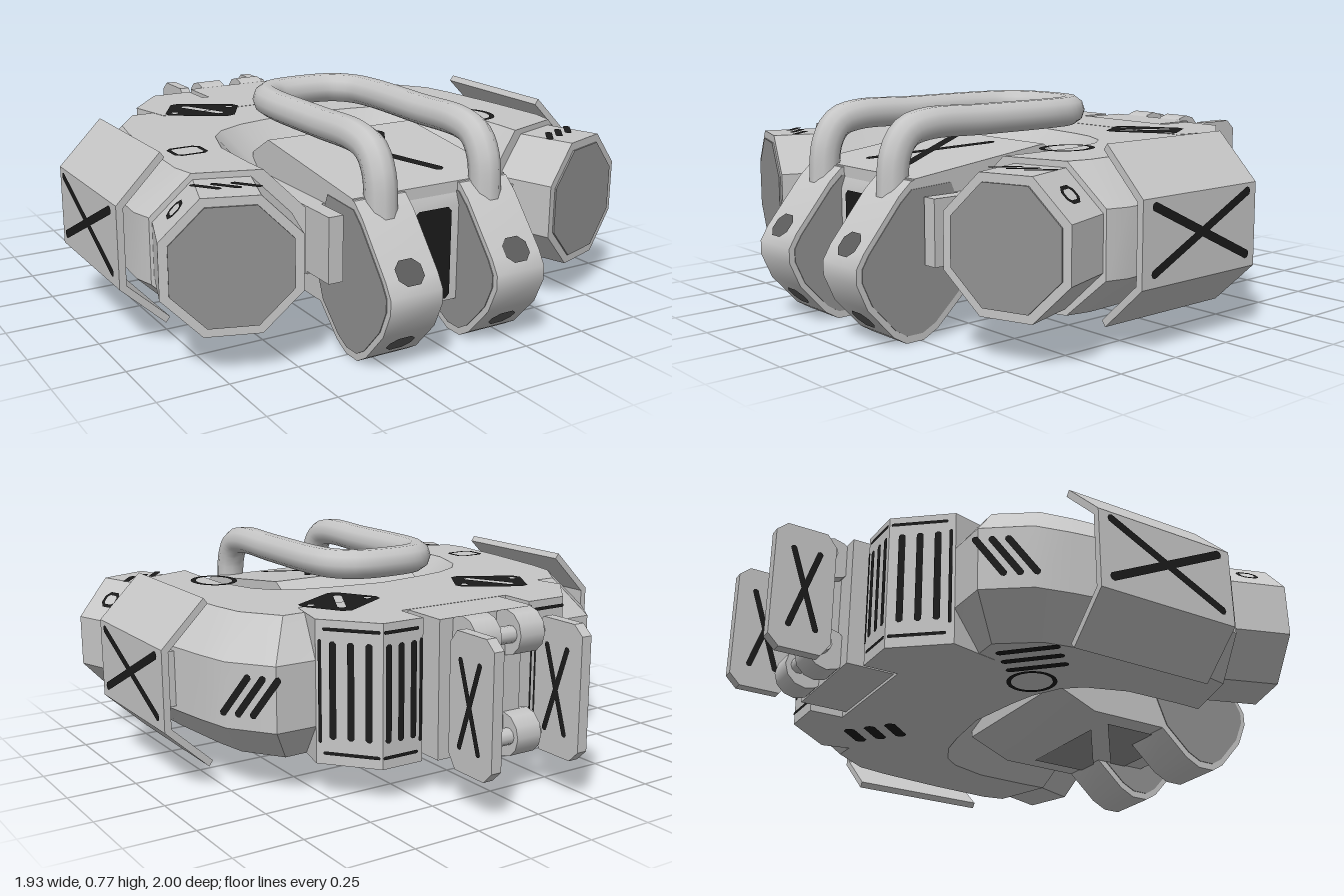
import * as THREE from 'three';
import { toCreasedNormals } from 'three/addons/utils/BufferGeometryUtils.js';

const V = (x, y, z) => new THREE.Vector3(x, y, z);
const paint = (name, color) => Object.assign(new THREE.MeshStandardMaterial({ color }), { name });

export function createModel() {
  const root = new THREE.Group();
  const shellGray = paint('light gray', 0xc6c6c6), midGray = paint('mid gray', 0x929292);
  const black = paint('black', 0x1b1b1b), darkGray = paint('dark gray', 0x5c5c5c);

  const add = (name, geo, mat = shellGray) => {
    const m = new THREE.Mesh(geo, mat);
    m.name = name;
    root.add(m);
    return m;
  };
  const poly = (pts) => new THREE.Shape(pts.map(([x, y]) => new THREE.Vector2(x, y)));
  const box = (name, w, h, d, x, y, z, mat) =>
    add(name, new THREE.BoxGeometry(w, h, d).translate(x, y, z), mat);
  // prism from a side outline (z, y), centred on x
  const sidePrism = (name, pts, width, x, mat) => add(name, toCreasedNormals(
    new THREE.ExtrudeGeometry(poly(pts), { depth: width, bevelEnabled: false })
      .rotateY(-Math.PI / 2).translate(x + width / 2, 0, 0), 0.6), mat);
  // prism from a plan outline (x, z), between two heights
  const planPrism = (name, pts, y0, y1) => add(name,
    new THREE.ExtrudeGeometry(poly(pts.map(([x, z]) => [x, -z])), { depth: y1 - y0, bevelEnabled: false })
      .rotateX(-Math.PI / 2).translate(0, y0, 0));
  // flat marking laid just above a surface
  const mark = (name, shapes, pos, normal, spin = 0, mat = black) => {
    const n = normal.clone().normalize();
    const up = Math.abs(n.y) > 0.9 ? V(0, 0, -1) : V(0, 1, 0);
    const x = up.cross(n).normalize();
    const m = add(name, new THREE.ShapeGeometry(shapes).rotateZ(spin), mat);
    m.quaternion.setFromRotationMatrix(new THREE.Matrix4().makeBasis(x, n.clone().cross(x), n));
    m.position.copy(pos).addScaledVector(n, 0.004);
  };
  // clipped-corner bar, used for strokes, slots and panels
  const bar = (l, w, a = 0, cx = 0, cy = 0, c = w * 0.3) => {
    const p = [];
    for (const [sx, sy] of [[1, 1], [-1, 1], [-1, -1], [1, -1]]) {
      const k = [[sx * l / 2, sy * (w / 2 - c)], [sx * (l / 2 - c), sy * w / 2]];
      p.push(...(sx * sy > 0 ? k : k.reverse()));
    }
    return poly(p.map(([x, y]) => [cx + x * Math.cos(a) - y * Math.sin(a), cy + x * Math.sin(a) + y * Math.cos(a)]));
  };
  const cross = (l, w, a) => [bar(l, w, a), bar(l, w, -a)];
  const stripes = (l, w, gap, a) => [-1, 0, 1].map((i) => bar(l, w, a, i * gap, 0));
  const ring = (rx, ry, t) => {
    const s = new THREE.Shape().absellipse(0, 0, rx, ry, 0, Math.PI * 2);
    s.holes.push(new THREE.Path().absellipse(0, 0, rx - t, ry - t, 0, Math.PI * 2));
    return s;
  };
  const frame = (w, h, t) => {
    const s = bar(w, h, 0, 0, 0, 0.02);
    s.holes.push(bar(w - 2 * t, h - 2 * t, 0, 0, 0, 0.01));
    return s;
  };

  // horseshoe body: eight-sided section between outer and inner outlines
  const half = [
    [0, -0.48, 0, 0.06], [0.54, -0.48, 0.12, 0.06], [0.69, -0.48, 0.22, 0.08], [0.8, -0.33, 0.31, 0.12],
    [0.83, -0.2, 0.36, 0.18], [0.88, 0.1, 0.39, 0.3], [0.9, 0.37, 0.39, 0.5], [0.88, 0.45, 0.39, 0.61],
  ];
  const stations = [...half.slice(1).reverse().map(([a, b, c, d]) => [-a, b, -c, d]), ...half];
  const pos = [], idx = [];
  stations.forEach(([ox, oz, ix, iz], s) => {
    const o = V(ox, 0, oz), i = V(ix, 0, iz), e = 0.14 / o.distanceTo(i);
    [[0, 0.26], [0, 0.49], [e, 0.63], [1 - e, 0.63], [1, 0.49], [1, 0.26], [1 - e, 0.13], [e, 0.13]].forEach(([t, y], r) => {
      const p = o.clone().lerp(i, t);
      pos.push(p.x, y, p.z);
      if (s === stations.length - 1) return;
      const a = s * 8 + r, b = s * 8 + (r + 1) % 8;
      idx.push(a, b, a + 8, b, b + 8, a + 8);
    });
  });
  const last = (stations.length - 1) * 8;
  for (let r = 1; r < 7; r++) idx.push(0, r + 1, r, last, last + r, last + r + 1);
  const body = new THREE.BufferGeometry();
  body.setAttribute('position', new THREE.Float32BufferAttribute(pos, 3));
  body.setIndex(idx);
  add('body', toCreasedNormals(body, 0.6));

  // rear vent block with a notch for the hinge
  const rear = [[0.23, -0.53], [0.23, -0.66], [0.39, -0.66], [0.54, -0.48], [0.5, -0.3]];
  planPrism('rearBlock', [...rear, ...rear.map(([x, z]) => [-x, z]).reverse()], 0.129, 0.631);

  // central block, its collar and the markings on it
  planPrism('blockCollar', [[-0.32, 0.08], [0.32, 0.08], [0.38, 0.16], [0.38, 0.6], [-0.38, 0.6], [-0.38, 0.16]], 0.25, 0.49);
  sidePrism('centralBlock', [[0.08, 0.2], [0.08, 0.55], [0.2, 0.62], [0.77, 0.55], [0.77, 0.13], [0.25, 0.13]], 0.62, 0);
  sidePrism('noseBridge', [[0.7, 0.55], [0.77, 0.51], [0.785, 0.47], [0.785, 0.13], [0.7, 0.13]], 0.24, 0);
  mark('noseSlot', bar(0.33, 0.15, Math.PI / 2, 0, 0, 0.015), V(0, 0.305, 0.785), V(0, 0, 1));
  mark('blockCross', cross(0.47, 0.04, 1.04), V(0, 0.587, 0.47), V(0, 0.57, 0.07));
  const under = V(0, 0.13, 0.52), down = V(0, -1, 0);
  mark('underPanel', [poly([[-0.24, 0.18], [0.16, 0.18], [-0.24, -0.12]]), poly([[0.24, 0.16], [0.24, -0.18], [-0.2, -0.18]])],
    under, down, 0, midGray);

  // carrying handle
  const grip = [[0.212, 0.46, 0.79], [0.212, 0.62, 0.775], [0.212, 0.69, 0.73], [0.212, 0.715, 0.65], [0.212, 0.715, 0.4],
    [0.212, 0.715, 0.07], [0.19, 0.715, -0.03], [0.13, 0.715, -0.095]];
  const path = [...grip.map((p) => V(...p)), V(0, 0.715, -0.115), ...grip.map(([x, y, z]) => V(-x, y, z)).reverse()];
  add('handle', new THREE.TubeGeometry(new THREE.CatmullRomCurve3(path, false, 'centripetal'), 90, 0.056, 10));

  // rear hinge
  box('hingeBlock', 0.4, 0.49, 0.18, 0, 0.385, -0.62);
  box('hingeBack', 0.22, 0.36, 0.06, 0, 0.385, -0.73);
  for (const y of [0.565, 0.205])
    add('hingeAxle', new THREE.CylinderGeometry(0.03, 0.03, 0.37, 10).rotateZ(Math.PI / 2).translate(0, y, -0.79));

  const fang = [[0.5, 0.3], [0.6, 0.555], [0.78, 0.545], [0.83, 0.5], [0.97, 0.33], [1, 0.28], [1, 0.23],
    [0.96, 0.14], [0.86, 0.03], [0.81, 0], [0.74, 0], [0.68, 0.03], [0.57, 0.13]];
  const ventNormal = (s) => V(s * 0.77, 0, -0.64);

  for (const s of [1, -1]) {
    // front claws with side panels and studs
    sidePrism('frontClaw', fang, 0.2, s * 0.21);
    const inset = fang.map(([z, y]) => [0.79 + (z - 0.79) * 0.9, 0.26 + (y - 0.26) * 0.9]);
    sidePrism('clawPanel', inset, 0.206, s * 0.21, midGray);
    mark('clawStud', bar(0.1, 0.09, 0, 0, 0, 0.025), V(s * 0.215, 0.342, 0.96), V(0, 0.14, 0.17), 0, darkGray);
    mark('clawStudUnder', bar(0.1, 0.08, 0, 0, 0, 0.025), V(s * 0.21, 0.085, 0.91), V(0, -0.1, 0.11), 0, darkGray);
    box('sideFlange', 0.055, 0.23, 0.4, s * 0.352, 0.375, 0.54);

    // octagonal pods on the arm ends
    const axis = V(s * 0.32, 0, 0.95).normalize(), tip = V(s * 0.72, 0.38, 0.725);
    const pod = (name, r, len, off, mat) => {
      const m = add(name, new THREE.CylinderGeometry(r, r, len, 8, 1, false, Math.PI / 8).toNonIndexed()
        .rotateX(Math.PI / 2), mat);
      m.geometry.computeVertexNormals();
      m.position.copy(tip).addScaledVector(axis, off);
      m.lookAt(m.position.clone().add(axis));
    };
    pod('pod', 0.248, 0.24, -0.12);
    pod('podFace', 0.216, 0.008, 0.002, midGray);
    const top = tip.clone().addScaledVector(axis, -0.11).setY(0.609), yaw = s * 0.32;
    mark('podStripes', stripes(0.11, 0.025, 0.065, s * 0.6), top, V(0, 1, 0), yaw);
    const out = V(axis.z * s, 0, -axis.x * s).multiplyScalar(0.707).setY(0.707);
    mark('podFrame', frame(0.08, 0.07, 0.014), tip.clone().addScaledVector(axis, -0.11).addScaledVector(out, 0.229), out);

    // bent side armour
    const arm = [[0.8, 0.68], [0.96, 0.52], [0.96, 0.23], [0.8, 0.08], [0.785, 0.1], [0.935, 0.24], [0.935, 0.51], [0.785, 0.66]];
    add('sideArmour', new THREE.ExtrudeGeometry(poly(arm.map(([x, y]) => [s * x, y])), { depth: 0.555, bevelEnabled: false })
      .translate(0, 0, -0.185));
    box('armourMount', 0.14, 0.2, 0.3, s * 0.87, 0.375, 0.1);
    mark('armourCross', cross(0.53, 0.03, 0.446), V(s * 0.96, 0.385, 0.09), V(s, 0, 0));

    // body side stripes and rear vents
    mark('sideStripes', stripes(0.18, 0.024, 0.055, s * 0.95), V(s * 0.745, 0.38, -0.405), V(s * 0.15, 0, -0.11));
    for (const x of [0.27, 0.32, 0.37])
      mark('ventSlot', bar(0.34, 0.024, Math.PI / 2), V(s * x, 0.39, -0.66), V(0, 0, -1));
    for (const t of [0.2, 0.47, 0.74])
      mark('ventSlot', bar(0.34, 0.024, Math.PI / 2), V(s * (0.39 + 0.15 * t), 0.39, -0.66 + 0.18 * t), ventNormal(s));
    for (const y of [0.17, 0.6]) {
      mark('ventEdge', bar(0.14, 0.012), V(s * 0.32, y, -0.66), V(0, 0, -1));
      mark('ventEdge', bar(0.2, 0.012), V(s * 0.459, y, -0.577), ventNormal(s));
    }
    mark('ventEdge', bar(0.36, 0.012, Math.PI / 2), V(s * 0.241, 0.385, -0.66), V(0, 0, -1));
    mark('ventEdge', bar(0.36, 0.012, Math.PI / 2), V(s * 0.53, 0.385, -0.492), ventNormal(s));

    // slashed plates on the top
    const plate = bar(0.27, 0.21, 0, 0, 0, 0.025);
    plate.holes.push(bar(0.2, 0.03, s * 0.56),
      new THREE.Path().absarc(0.1, s * -0.06, 0.013, 0, 6.283), new THREE.Path().absarc(-0.1, s * 0.06, 0.013, 0, 6.283));
    mark('topPlate', plate, V(s * 0.335, 0.631, -0.305), V(0, 1, 0), s * 0.54);

    // hinge knuckles and rear fins
    for (const y of [0.565, 0.205])
      add('hingeKnuckle', new THREE.CylinderGeometry(0.08, 0.08, 0.105, 12).rotateZ(Math.PI / 2).translate(s * 0.093, y, -0.76));
    sidePrism('rearFin', [[-0.775, 0.19], [-0.775, 0.57], [-0.81, 0.615], [-0.96, 0.615], [-1, 0.58], [-1, 0.18], [-0.96, 0.14], [-0.81, 0.14]],
      0.04, s * 0.185);
    for (const f of [1, -1])
      mark('finCross', cross(0.33, 0.022, 1.25), V(s * 0.185 + f * 0.02, 0.375, -0.885), V(f, 0, 0));
  }

  // single markings on the top and underside
  mark('topRing', ring(0.085, 0.103, 0.02), V(0.53, 0.63, 0.29), V(0, 1, 0));
  mark('topFrame', frame(0.125, 0.11, 0.015), V(-0.645, 0.63, 0.24), V(0, 1, 0));
  mark('underRing', ring(0.09, 0.09, 0.016), V(-0.42, 0.13, -0.1), down);
  mark('underBars', stripes(0.22, 0.032, 0.07, Math.PI / 2), V(-0.58, 0.13, -0.2), down, 0.8);
  mark('underSlots', stripes(0.14, 0.045, 0.085, Math.PI / 2), V(0.3, 0.129, -0.36), down, -0.7);
  return root;
}
